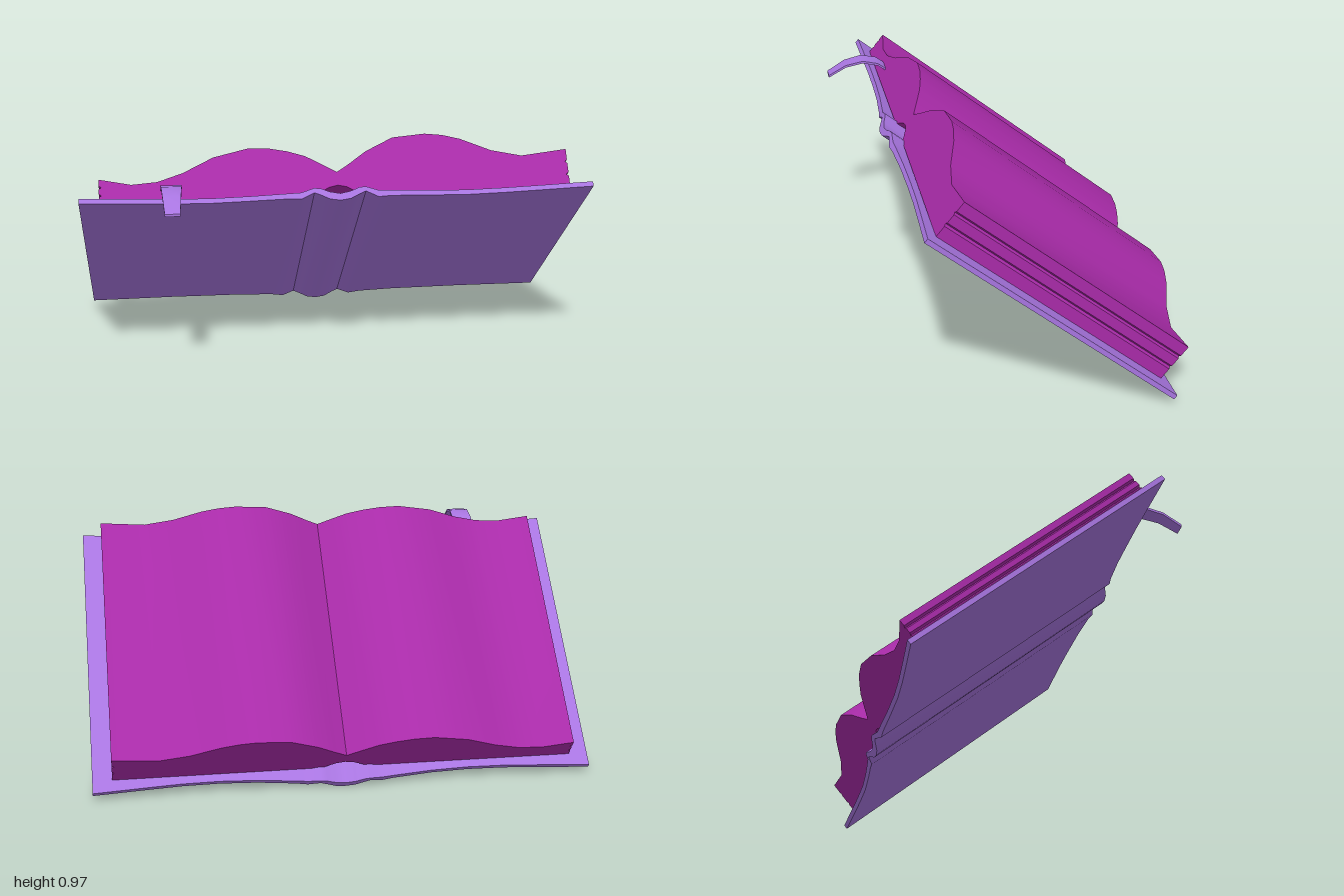
import * as THREE from 'three';
import { toCreasedNormals } from 'three/addons/utils/BufferGeometryUtils.js';

const TILT = 0.684;   // lean of the open book
const MID = 0.247;    // middle of the book along its height

const purple = new THREE.MeshStandardMaterial({ color: 0xa875e0 });
const magenta = new THREE.MeshStandardMaterial({ color: 0xa82ba8 });

// Skin a row of four-cornered rings (clockwise seen from the far end) and cap both ends
function loft(rings) {
  const index = [];
  for (let i = 0; i < rings.length - 1; i++) {
    for (let k = 0; k < 4; k++) {
      const a = i * 4 + k, b = i * 4 + (k + 1) % 4, c = b + 4, d = a + 4;
      index.push(a, d, c, a, c, b);
    }
  }
  const e = (rings.length - 1) * 4;
  index.push(0, 1, 2, 0, 2, 3, e, e + 2, e + 1, e, e + 3, e + 2);
  const g = new THREE.BufferGeometry();
  g.setAttribute('position', new THREE.Float32BufferAttribute(rings.flat(2), 3));
  g.setIndex(index);
  return toCreasedNormals(g, 0.6);
}

function named(name, geometry, material) {
  const mesh = new THREE.Mesh(geometry, material);
  mesh.name = name;
  return mesh;
}

// Boards with hinge grooves and a rounded spine: x, half height, underside, upper side
function makeCover() {
  const half = [
    [0, 0.622, 0.307, 0.335], [0.04, 0.622, 0.313, 0.343], [0.075, 0.621, 0.331, 0.358],
    [0.1, 0.62, 0.342, 0.361], [0.15, 0.612, 0.32, 0.347], [0.2, 0.607, 0.325, 0.347],
    [0.35, 0.594, 0.326, 0.346], [0.5, 0.588, 0.325, 0.345], [0.65, 0.591, 0.327, 0.347],
    [0.8, 0.6, 0.329, 0.349], [1, 0.613, 0.332, 0.352],
  ];
  const left = half.slice(1).reverse().map(([x, ...rest]) => [-x, ...rest]);
  return loft([...left, ...half].map(([x, h, low, high]) => [
    [x, low, MID - h], [x, low, MID + h], [x, high, MID + h], [x, high, MID - h],
  ]));
}

// Open page block: wavy top, layered fore-edges, small hollow above the spine
function makePages() {
  const outline = [
    [-0.925, 0.35], [-0.09, 0.352], [-0.07, 0.366], [-0.035, 0.386], [0, 0.394],
    [0.035, 0.386], [0.07, 0.366], [0.09, 0.352], [0.922, 0.35],
    // right fore-edge
    [0.922, 0.4], [0.912, 0.408], [0.922, 0.416], [0.922, 0.455], [0.912, 0.462], [0.922, 0.47],
    // top, from right to left
    [0.922, 0.515], [0.74, 0.493], [0.62, 0.52], [0.5, 0.573], [0.43, 0.592], [0.36, 0.6],
    [0.23, 0.588], [0.12, 0.533], [0.05, 0.482], [0, 0.449], [-0.05, 0.479], [-0.12, 0.52],
    [-0.19, 0.543], [-0.26, 0.557], [-0.34, 0.561], [-0.48, 0.527], [-0.6, 0.466],
    [-0.7, 0.432], [-0.8, 0.424], [-0.925, 0.45],
    // left fore-edge
    [-0.925, 0.424], [-0.915, 0.417], [-0.925, 0.41], [-0.925, 0.39], [-0.915, 0.383], [-0.925, 0.376],
  ];
  const shape = new THREE.Shape(outline.map(([x, y]) => new THREE.Vector2(x, y)));
  const g = new THREE.ExtrudeGeometry(shape, { depth: 1.116, bevelEnabled: false });
  g.translate(0, 0, MID - 0.558);
  return toCreasedNormals(g, 0.45);
}

// Bookmark arching out of the page edge: z, y, half width
function makeRibbon() {
  const path = [
    [0.35, 0.795, 0.041], [0.375, 0.819, 0.041], [0.405, 0.841, 0.041],
    [0.47, 0.856, 0.039], [0.545, 0.84, 0.035], [0.62, 0.797, 0.029],
  ];
  const x = -0.648, t = 0.005;
  return loft(path.map(([z, y, w]) => [
    [x - w, y - t, z], [x - w, y + t, z], [x + w, y + t, z], [x + w, y - t, z],
  ]));
}

export function createModel() {
  const model = new THREE.Group();
  model.name = 'openBook';

  const book = new THREE.Group();
  book.name = 'tiltedBook';
  book.rotation.x = -TILT;
  book.add(named('cover', makeCover(), purple), named('pages', makePages(), magenta));

  model.add(book, named('ribbon', makeRibbon(), purple));
  return model;
}
